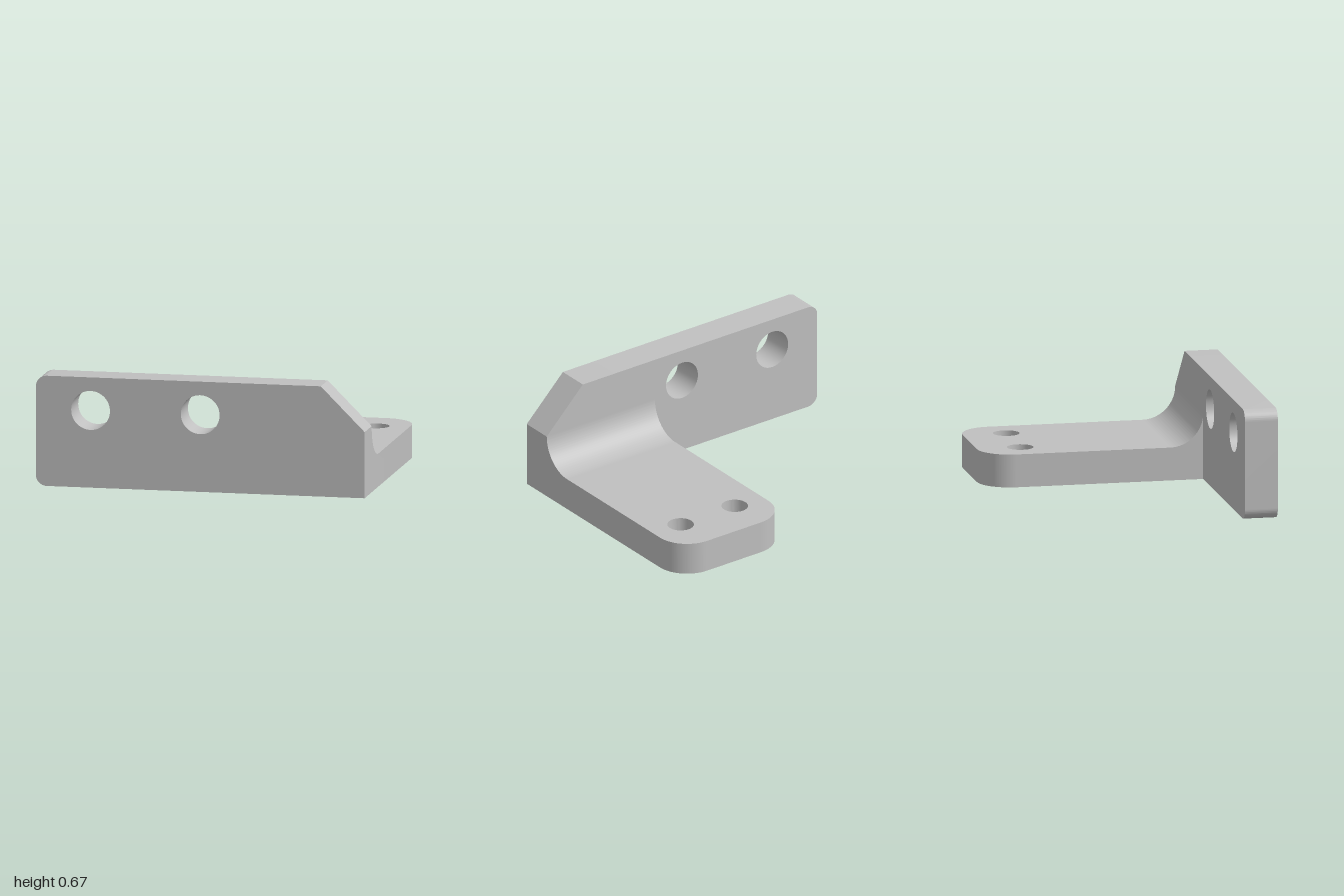
import * as THREE from 'three';
import { toCreasedNormals } from 'three/addons/utils/BufferGeometryUtils.js';

const THICK = 0.2;            // wall and foot thickness
const HEIGHT = 0.667;         // wall height
const FRONT = 0.767;          // front face z, the rear end is at -FRONT
const WALL_BACK = FRONT - THICK;
const FOOT_X = 0.2;           // foot runs from here to x = 1
const FILLET = 0.2;

const extrude = (shape, depth) =>
  new THREE.ExtrudeGeometry(shape, { depth, bevelEnabled: false, curveSegments: 24 });

function addHole(shape, x, y, r) {
  const hole = new THREE.Path();
  hole.absarc(x, y, r, 0, Math.PI * 2, true);
  shape.holes.push(hole);
}

// Upright plate: rounded corners on one end, a chamfer on the other
function wallGeometry() {
  const r = 0.067;
  const s = new THREE.Shape();
  s.moveTo(-1 + r, 0);
  s.lineTo(1, 0);
  s.lineTo(1, 0.4);
  s.lineTo(0.733, HEIGHT);
  s.lineTo(-1 + r, HEIGHT);
  s.absarc(-1 + r, HEIGHT - r, r, Math.PI / 2, Math.PI, false);
  s.lineTo(-1, r);
  s.absarc(-1 + r, r, r, Math.PI, Math.PI * 1.5, false);
  for (const x of [-0.667, 0]) addHole(s, x, 0.467, 0.118);
  return extrude(s, THICK).translate(0, 0, WALL_BACK);
}

// Flat foot, drawn in plan with shape y = -z and laid down
function footGeometry() {
  const r = 0.2;
  const s = new THREE.Shape();
  s.moveTo(FOOT_X, -WALL_BACK);
  s.lineTo(1, -WALL_BACK);
  s.lineTo(1, FRONT - r);
  s.absarc(1 - r, FRONT - r, r, 0, Math.PI / 2, false);
  s.lineTo(FOOT_X + r, FRONT);
  s.absarc(FOOT_X + r, FRONT - r, r, Math.PI / 2, Math.PI, false);
  s.lineTo(FOOT_X, -WALL_BACK);
  for (const x of [0.4, 0.8]) addHole(s, x, 0.503, 0.079);
  return extrude(s, THICK).rotateX(-Math.PI / 2);
}

// Concave fillet between foot and wall, drawn in side profile with shape x = -z
function filletGeometry() {
  const s = new THREE.Shape();
  s.moveTo(-WALL_BACK, THICK);
  s.lineTo(-WALL_BACK + FILLET, THICK);
  s.absarc(-WALL_BACK + FILLET, THICK + FILLET, FILLET, Math.PI * 1.5, Math.PI, true);
  s.lineTo(-WALL_BACK, THICK);
  return extrude(s, 1 - FOOT_X).rotateY(Math.PI / 2).translate(FOOT_X, 0, 0);
}

export function createModel() {
  const group = new THREE.Group();
  group.name = 'angleBracket';
  const metal = new THREE.MeshStandardMaterial({ color: 0xc0c0c0 });
  metal.name = 'plain grey metal';

  const parts = { wall: wallGeometry(), foot: footGeometry(), fillet: filletGeometry() };
  for (const [name, geometry] of Object.entries(parts)) {
    const mesh = new THREE.Mesh(toCreasedNormals(geometry, 0.5), metal);
    mesh.name = name;
    group.add(mesh);
  }
  return group;
}
